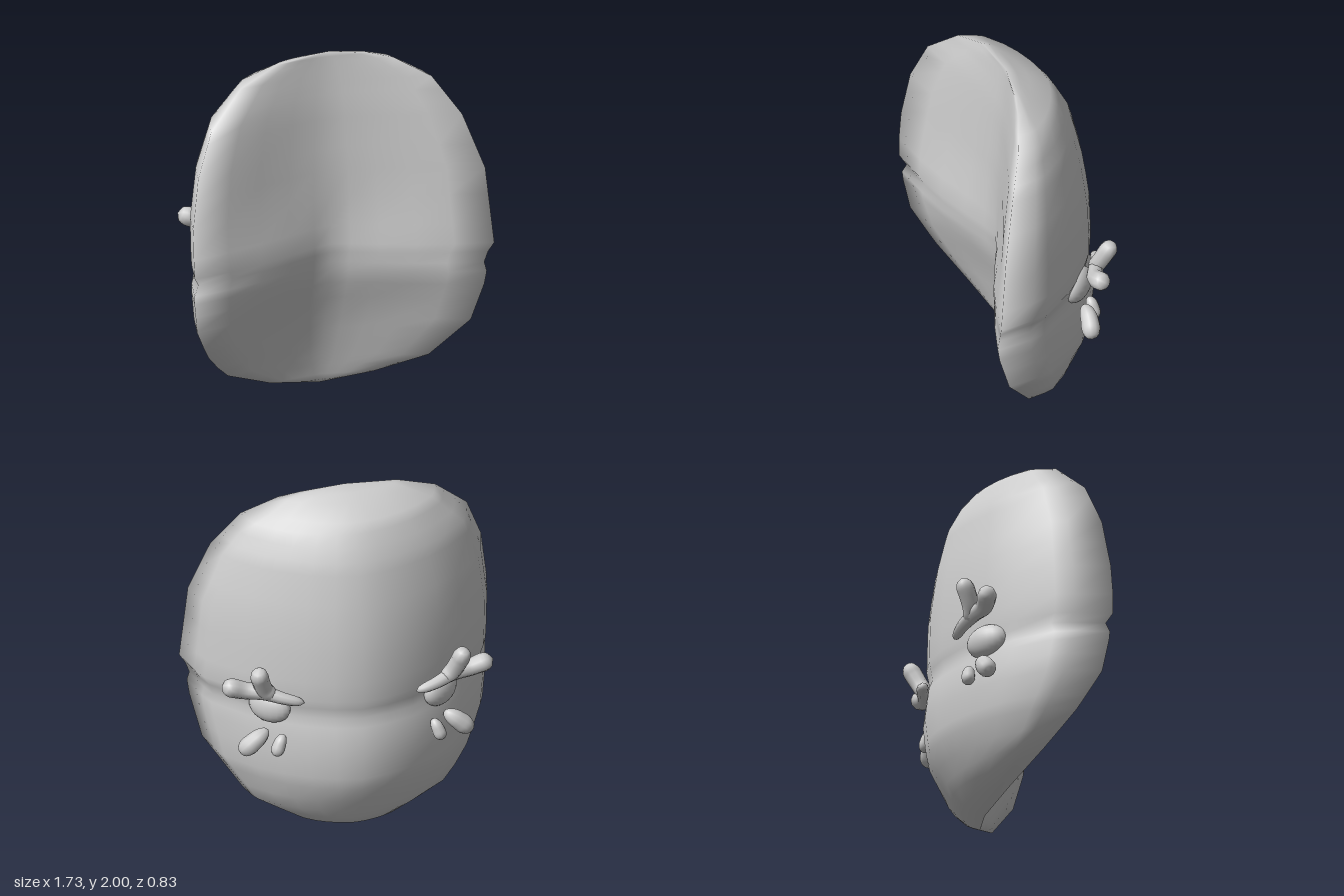
import * as THREE from 'three';
import { mergeVertices } from 'three/addons/utils/BufferGeometryUtils.js';

// Linear lookup: column c of a table whose first column rises
function lookup(table, t, c = 1) {
  let i = 1;
  while (i < table.length - 1 && table[i][0] < t) i++;
  const a = table[i - 1], b = table[i];
  const k = Math.min(1, Math.max(0, (t - a[0]) / (b[0] - a[0])));
  return a[c] + (b[c] - a[c]) * k;
}

// Rim of the shell on each side: y, half width, z
const RIM_LEFT = [
  [0, 0, -0.08], [0.05, 0.29, -0.03], [0.17, 0.56, 0.11], [0.42, 0.75, 0.28],
  [0.71, 0.82, 0.37], [0.8, 0.8, 0.35], [0.89, 0.86, 0.36], [1.32, 0.82, 0.32],
  [1.62, 0.71, 0.25], [1.83, 0.56, 0.17], [1.94, 0.36, 0.11], [1.98, 0.2, 0.08], [2, 0, 0.07],
];
const RIM_RIGHT = [
  [0, 0, -0.08], [0.05, 0.3, -0.02], [0.18, 0.6, 0.11], [0.36, 0.74, 0.25],
  [0.55, 0.83, 0.36], [0.77, 0.86, 0.4], [0.84, 0.83, 0.38], [0.9, 0.865, 0.42],
  [1.17, 0.865, 0.4], [1.45, 0.825, 0.36], [1.69, 0.73, 0.29], [1.88, 0.53, 0.18],
  [1.97, 0.3, 0.11], [2, 0, 0.07],
];
// Centre line: y, z
const FRONT_LINE = [[0, -0.08], [0.2, -0.035], [0.45, 0.03], [0.7, 0.11], [0.79, 0.115], [0.86, 0.13], [1.3, 0.13], [1.7, 0.105], [2, 0.07]];
const BACK_LINE = [
  [0, -0.08], [0.06, -0.23], [0.33, -0.39], [0.53, -0.42], [0.73, -0.395], [0.78, -0.375],
  [0.9, -0.395], [1.2, -0.385], [1.45, -0.345], [1.68, -0.29], [1.87, -0.19], [2, 0.07],
];
// How far the section has bent from the centre line to the rim
const LIP_BEND = [[0, 0], [0.12, 0.11], [0.3, 0.36], [0.52, 0.64], [0.75, 0.84], [1, 1]];
const PANEL_BEND = [[0, 0], [0.12, 0.04], [0.3, 0.18], [0.52, 0.45], [0.75, 0.75], [1, 1]];
const BACK_BEND = [[0, 0], [0.18, 0.035], [0.36, 0.11], [0.55, 0.23], [0.72, 0.38], [0.91, 0.62], [0.95, 0.74], [1, 1]];

const ROWS = [0, 0.05, 0.11, 0.17, 0.25, 0.35, 0.42, 0.55, 0.65, 0.73, 0.78, 0.84, 0.89,
  1, 1.17, 1.32, 1.45, 1.62, 1.69, 1.76, 1.83, 1.88, 1.94, 1.97, 2];

// Front is flatter in the panels than along the lip of the crease
function frontBend(u, y) {
  const lip = Math.exp(-(((y - 0.84) / 0.25) ** 2));
  return lookup(LIP_BEND, u) * lip + lookup(PANEL_BEND, u) * (1 - lip);
}
const backBend = u => lookup(BACK_BEND, u);

// Point on the shell: u runs from -1 to 1 across it
function shellPoint(y, u, centre, bend) {
  const rim = u < 0 ? RIM_RIGHT : RIM_LEFT;
  const z0 = lookup(centre, y);
  const z = z0 + (lookup(rim, y, 2) - z0) * bend(Math.abs(u), y);
  return [u * lookup(rim, y, 1), y, z];
}

const mirrored = half => [...half.slice(1).reverse().map(u => -u), ...half];

// Crescent sections stacked from bottom to top
function bodyGeometry() {
  const frontU = mirrored(PANEL_BEND.map(p => p[0]));
  const backU = mirrored(BACK_BEND.map(p => p[0])).slice(1, -1).reverse();
  const n = frontU.length + backU.length;
  const position = [], index = [];
  ROWS.forEach((y, r) => {
    frontU.forEach(u => position.push(...shellPoint(y, u, FRONT_LINE, frontBend)));
    backU.forEach(u => position.push(...shellPoint(y, u, BACK_LINE, backBend)));
    if (r === 0) return;
    for (let j = 0; j < n; j++) {
      const a = (r - 1) * n + j, b = (r - 1) * n + (j + 1) % n;
      index.push(a, b, b + n, a, b + n, a + n);
    }
  });
  const g = new THREE.BufferGeometry();
  g.setAttribute('position', new THREE.Float32BufferAttribute(position, 3));
  g.setIndex(index);
  const welded = mergeVertices(g, 1e-4);
  welded.computeVertexNormals();
  return welded;
}

// Round-ended tube along a few points, with a radius at each end
function taperedTube(points, r0, r1, capLength) {
  const curve = new THREE.CatmullRomCurve3(points.map(p => new THREE.Vector3(...p)));
  const steps = 24, sides = 10;
  const g = new THREE.TubeGeometry(curve, steps, 1, sides);
  const pos = g.attributes.position, v = new THREE.Vector3();
  for (let i = 0; i <= steps; i++) {
    const t = i / steps, c = curve.getPointAt(t);
    const end = Math.min(1, Math.min(t, 1 - t) / capLength);
    const r = (r0 + (r1 - r0) * t) * Math.sqrt(1 - (1 - end) ** 2);
    for (let j = 0; j <= sides; j++) {
      const k = i * (sides + 1) + j;
      v.fromBufferAttribute(pos, k).sub(c).multiplyScalar(r).add(c);
      pos.setXYZ(k, v.x, v.y, v.z);
    }
  }
  g.deleteAttribute('uv');
  g.deleteAttribute('normal');
  const welded = mergeVertices(g, 1e-5);
  welded.computeVertexNormals();
  return welded;
}

export function createModel() {
  const model = new THREE.Group();
  const grey = new THREE.MeshStandardMaterial({ color: 0xcccccc });
  grey.name = 'light grey';
  const add = (parent, name, geometry) => {
    const mesh = new THREE.Mesh(geometry, grey);
    mesh.name = name;
    parent.add(mesh);
    return mesh;
  };

  add(model, 'shellBody', bodyGeometry());

  // Eye with its branching lash and two lower drops, on both sides of the back
  for (const s of [1, -1]) {
    const side = new THREE.Group();
    side.name = s > 0 ? 'leftEyeGroup' : 'rightEyeGroup';
    model.add(side);
    const tube = (name, pts, r0, r1, cap) =>
      add(side, name, taperedTube(pts.map(([x, y, z]) => [s * x, y, z]), r0, r1, cap));

    const eye = add(side, 'eye', new THREE.SphereGeometry(1, 20, 14));
    eye.scale.set(0.125, 0.095, 0.065);
    eye.position.set(s * 0.475, 0.82, -0.195);
    eye.rotation.y = -s * 0.72;

    tube('lashOuterBranch', [[0.31, 0.89, -0.335], [0.42, 0.92, -0.32], [0.53, 0.95, -0.28], [0.63, 0.96, -0.25], [0.755, 1.01, -0.265]], 0.025, 0.058, 0.15);
    tube('lashUpperBranch', [[0.46, 0.92, -0.295], [0.52, 0.97, -0.295], [0.555, 1.05, -0.325], [0.575, 1.135, -0.365]], 0.045, 0.052, 0.25);
    tube('lowerDropOuter', [[0.49, 0.69, -0.225], [0.56, 0.64, -0.235], [0.645, 0.56, -0.225]], 0.042, 0.06, 0.4);
    tube('lowerDropInner', [[0.415, 0.68, -0.275], [0.44, 0.63, -0.29], [0.465, 0.56, -0.3]], 0.03, 0.042, 0.4);
  }
  return model;
}
